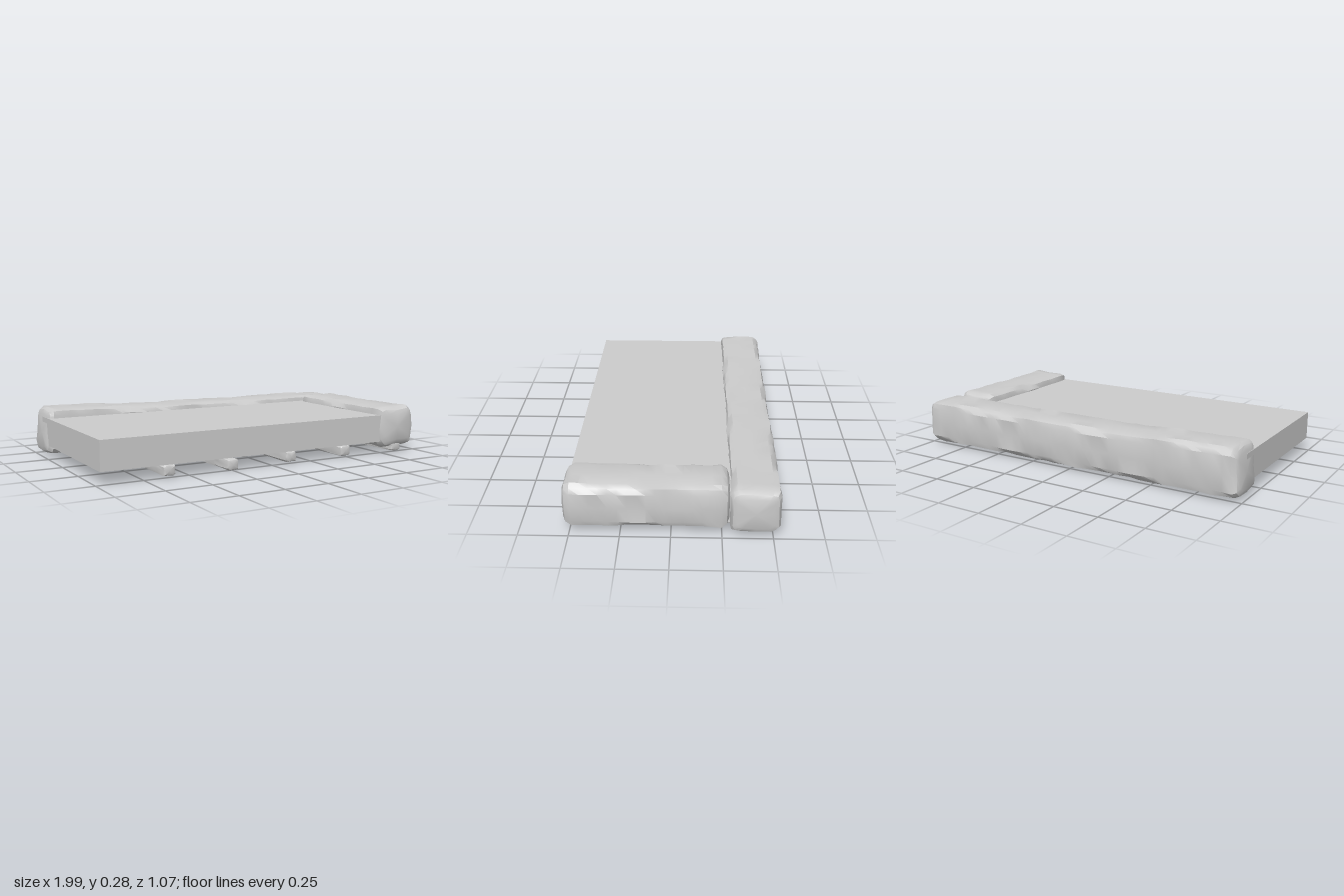
import * as THREE from 'three';
import { toCreasedNormals } from 'three/addons/utils/BufferGeometryUtils.js';

const material = new THREE.MeshStandardMaterial({ color: 0xcccccc, side: THREE.DoubleSide });

// Smooth repeatable wobble in about -1..1
const wobble = (a, b, seed) =>
  0.5 * Math.sin(a * 9 + b * 2.3 + seed) + 0.3 * Math.sin(a * 23 - b * 4.1 + seed * 2.7) + 0.2 * Math.sin(a * 47 + b * 7 + seed * 5);

// Worn beam along z: rounded rectangular rings, drawn in at both ends and closed
function wornBeam(length, width, height, { bevel, rough, seed, steps, crease = 0.6, shape = () => {} }) {
  const w = width / 2, h = height / 2, c = bevel, k = bevel * 0.3;
  const quarter = [[w, 0], [w, h - c], [w - k, h - k], [w - c, h]];
  const section = [
    ...quarter, [0, h],
    ...quarter.slice(1).reverse().map(([x, y]) => [-x, y]),
    ...quarter.map(([x, y]) => [-x, -y]), [0, -h],
    ...quarter.slice(1).reverse().map(([x, y]) => [x, -y]),
  ];
  const n = section.length, L = length / 2;
  // Ring stations: [z, inset]
  const rings = [[-L, c], [-L + k, k * 1.2]];
  for (let i = 0; i <= steps; i++) rings.push([(-1 + 2 * i / steps) * (L - c), 0]);
  rings.push([L - k, k * 1.2], [L, c]);

  const positions = [], index = [], v = new THREE.Vector3();
  const add = (x, y, z) => {
    v.set(x, y, z);
    shape(v);
    positions.push(v.x, v.y, v.z);
  };
  rings.forEach(([z, inset]) => section.forEach(([x, y], j) => {
    const d = rough * wobble(z, j, seed);
    add(x * (1 - (inset - d) / w), y * (1 - (inset - d) / h), z);
  }));
  for (let r = 0; r < rings.length - 1; r++) {
    for (let j = 0; j < n; j++) {
      const a = r * n + j, b = r * n + (j + 1) % n;
      index.push(a, b, b + n, a, b + n, a + n);
    }
  }
  // End caps
  const last = (rings.length - 1) * n, back = rings.length * n;
  add(0, 0, -L);
  add(0, 0, L);
  for (let j = 0; j < n; j++) {
    const m = (j + 1) % n;
    index.push(back, m, j, back + 1, last + j, last + m);
  }
  const geometry = new THREE.BufferGeometry();
  geometry.setAttribute('position', new THREE.Float32BufferAttribute(positions, 3));
  geometry.setIndex(index);
  return toCreasedNormals(geometry, crease);
}

export function createModel() {
  const model = new THREE.Group();
  const add = (name, geometry, x, y, z) => {
    const mesh = new THREE.Mesh(geometry, material);
    mesh.name = name;
    mesh.position.set(x, y, z);
    model.add(mesh);
    return mesh;
  };

  // Flat deck slab, its far edges buried in the two logs
  add('deck', new THREE.BoxGeometry(1.91, 0.155, 0.92), -0.025, 0.148, 0.052);

  // Long log across the back, rising a little and slanting in at its -x end
  const backLog = wornBeam(1.99, 0.245, 0.235, {
    bevel: 0.035, rough: 0.006, seed: 1.3, steps: 36,
    shape: (v) => {
      const rise = THREE.MathUtils.smoothstep(-v.z, 0.1, 0.95);
      if (v.y > 0) v.y += 0.018 * rise;
      if (v.z < -0.9) v.z += 0.1 * (v.y + 0.1) * (-v.z - 0.9) / 0.1;
    },
  });
  add('backLog', backLog, 0, 0.138, -0.411).rotation.y = Math.PI / 2;

  // Short log along the +x side
  const sideLog = wornBeam(0.815, 0.255, 0.232, { bevel: 0.04, rough: 0.006, seed: 4.2, steps: 16 });
  add('sideLog', sideLog, 0.852, 0.152, 0.122);

  // Thin bearers under the deck
  [-0.615, -0.25, 0.115, 0.485, 0.855].forEach((x, i) => {
    const bearer = wornBeam(0.92, 0.066, 0.056, { bevel: 0.01, rough: 0.003, seed: i * 1.9, steps: 12 });
    add('bearer' + (i + 1), bearer, x, [0.041, 0.033, 0.041, 0.041, 0.036][i], 0.057);
  });

  // Rest the lowest point on the ground
  const box = new THREE.Box3().setFromObject(model, true);
  model.children.forEach((part) => { part.position.y -= box.min.y; });
  return model;
}
